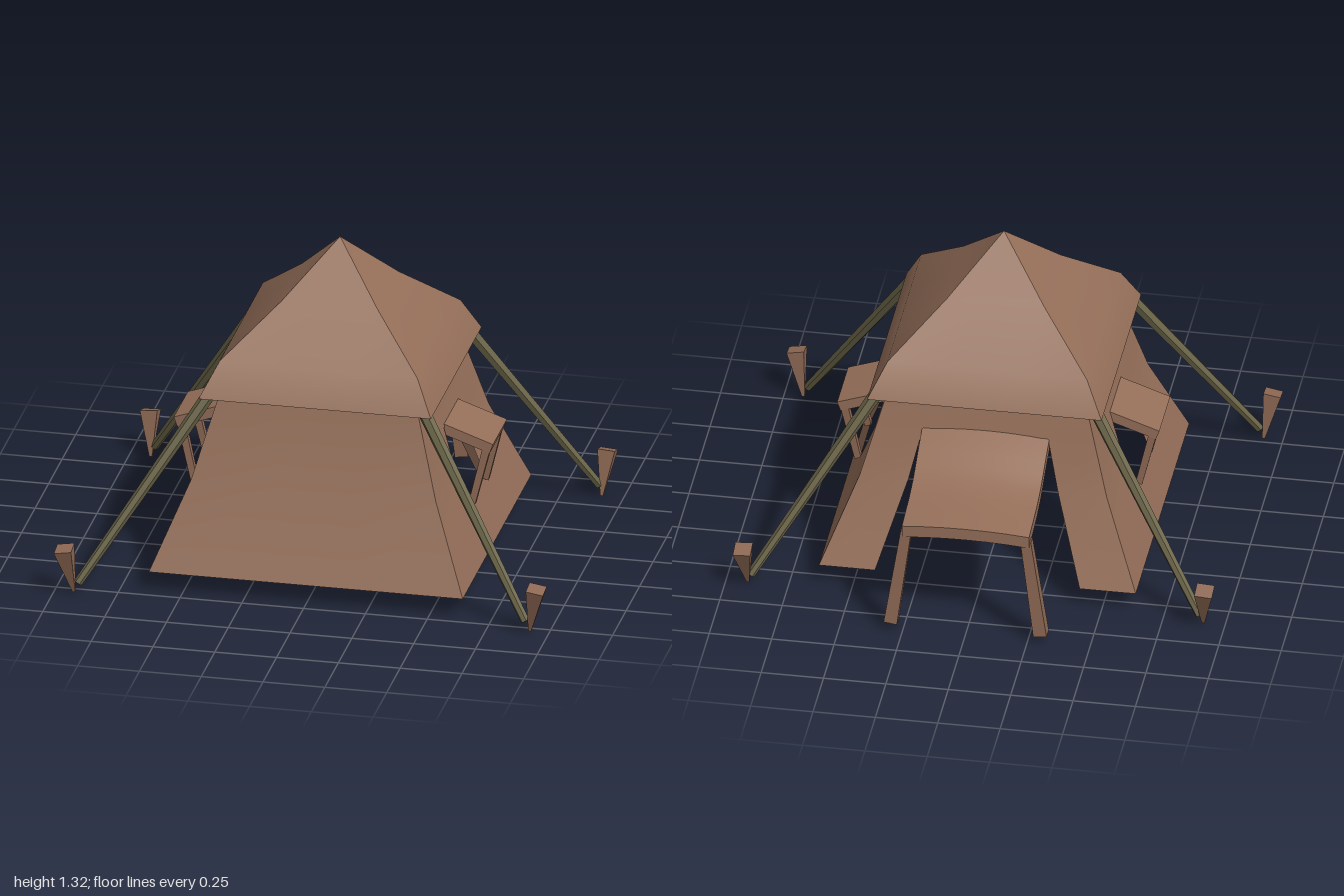
import * as THREE from 'three';

const CENTER_Z = 0.075;
const WALL = [[0.635, 0.09], [0.495, 0.44], [0.4, 0.78], [0.375, 0.9]];
const ROOF = [[0.47, 0.78], [0.4, 0.92], [0.195, 1.11], [0, 1.325]];

// Half width of a square profile at a height
function halfAt(profile, y) {
  for (let i = 1; i < profile.length; i++) {
    const [w0, y0] = profile[i - 1], [w1, y1] = profile[i];
    if (y <= y1 + 1e-6) return w0 + (w1 - w0) * (y - y0) / (y1 - y0);
  }
  return profile[profile.length - 1][0];
}

// One sloping side facing +z; cut(y) gives half the width of an opening
// that is left out between the rows first and last
function panel(profile, rows, cut, first = 0, last = 0) {
  const pos = [], index = [];
  rows.forEach((y, r) => {
    const h = halfAt(profile, y), c = cut(y, h);
    [-h, -c, c, h].forEach(x => pos.push(x, y, h));
    if (r === rows.length - 1) return;
    for (let k = 0; k < 3; k++) {
      if (k === 1 && r >= first && r < last) continue;
      const a = r * 4 + k, b = a + 4;
      index.push(a, a + 1, b + 1, a, b + 1, b);
    }
  });
  const g = new THREE.BufferGeometry();
  g.setAttribute('position', new THREE.Float32BufferAttribute(pos, 3));
  g.setIndex(index);
  g.computeVertexNormals();
  return g;
}

// Faceted tapered bar between two points
function bar(from, to, r0, r1, sides = 4) {
  const a = new THREE.Vector3(...from), b = new THREE.Vector3(...to);
  const dir = b.clone().sub(a);
  let g = new THREE.CylinderGeometry(r1, r0, dir.length(), sides);
  g.rotateY(Math.PI / sides);
  g.applyQuaternion(new THREE.Quaternion().setFromUnitVectors(new THREE.Vector3(0, 1, 0), dir.normalize()));
  g.translate((a.x + b.x) / 2, (a.y + b.y) / 2, (a.z + b.z) / 2);
  g = g.toNonIndexed();
  g.computeVertexNormals();
  return g;
}

export function createModel() {
  const model = new THREE.Group();
  const canvas = new THREE.MeshStandardMaterial({ color: 0x96705a, side: THREE.DoubleSide });
  canvas.name = 'brownCanvas';
  const wood = new THREE.MeshStandardMaterial({ color: 0x8f6a55 });
  wood.name = 'brownWood';
  const olive = new THREE.MeshStandardMaterial({ color: 0x6b6548 });
  olive.name = 'olivePole';
  const add = (name, g, mat, parent = model) => {
    const m = new THREE.Mesh(g, mat);
    m.name = name;
    parent.add(m);
    return m;
  };

  // Tent body: plain front, window in each side, doorway at the back
  const tent = new THREE.Group();
  tent.name = 'tentBody';
  tent.position.z = CENTER_Z;
  model.add(tent);
  const third = (y, h) => h / 3;
  const windowCut = y => (Math.abs(y - 0.44) < 0.01 ? 0.145 : 0.137);
  const doorway = [[0.41, 0.09], [0.3, 0.44], [0.25, 0.65], [0.2, 0.9]];
  const sideRows = [0.09, 0.3, 0.44, 0.6, 0.78, 0.9];
  add('frontWall', panel(WALL, [0.09, 0.44, 0.78, 0.9], third), canvas, tent);
  add('backWall', panel(WALL, [0.09, 0.44, 0.65, 0.78, 0.9], y => halfAt(doorway, y), 0, 2), canvas, tent)
    .rotation.y = Math.PI;
  for (const s of [1, -1])
    add(s > 0 ? 'leftWall' : 'rightWall', panel(WALL, sideRows, windowCut, 1, 3), canvas, tent)
      .rotation.y = s * Math.PI / 2;

  // Roof with four curved sides
  for (let i = 0; i < 4; i++)
    add('roofSide', panel(ROOF, ROOF.map(p => p[1]), third), canvas, tent).rotation.y = i * Math.PI / 2;

  // Raised door flap: a thick sheet bent along its length, slightly crowned
  const flap = new THREE.BoxGeometry(0.51, 0.05, 0.5, 6, 1, 8);
  const p = flap.attributes.position;
  const bend = new THREE.CatmullRomCurve3([
    new THREE.Vector3(0, 0.63, -0.345), new THREE.Vector3(0, 0.585, -0.44),
    new THREE.Vector3(0, 0.507, -0.6), new THREE.Vector3(0, 0.465, -0.842)]);
  for (let i = 0; i < p.count; i++) {
    const c = bend.getPoint(0.5 - p.getZ(i) / 0.5);
    const crown = 0.012 * (1 - (p.getX(i) / 0.255) ** 2);
    p.setXYZ(i, p.getX(i), c.y + p.getY(i) + crown, c.z);
  }
  flap.computeVertexNormals();
  add('doorFlap', flap, canvas);

  for (const s of [1, -1]) {
    // Posts under the door flap
    add('flapPost', bar([s * 0.3, 0.035, -0.825], [s * 0.24, 0.46, -0.815], 0.038, 0.03), wood);

    // Window awning with two props
    const awning = new THREE.BoxGeometry(0.22, 0.042, 0.26);
    awning.rotateZ(-s * 0.34);
    awning.translate(s * 0.535, 0.557, 0.068);
    add('windowAwning', awning, canvas);
    for (const [z0, z1] of [[0.196, 0.181], [-0.048, -0.045]])
      add('windowProp', bar([s * 0.563, 0.285, z0], [s * 0.617, 0.515, z1], 0.019, 0.022), wood);

    // Corner guy poles and their stakes
    const corners = [
      { top: [0.42, 0.81, 0.495], foot: [0.905, 0.05, 0.785], head: [0.955, 0.205, 0.812], tip: [0.922, 0.01, 0.778] },
      { top: [0.42, 0.81, -0.325], foot: [0.9, 0.05, -0.61], head: [0.925, 0.19, -0.648], tip: [0.912, 0.01, -0.597] },
    ];
    for (const c of corners) {
      const at = ([x, y, z]) => [s * x, y, z];
      add('guyPole', bar(at(c.foot), at(c.top), 0.018, 0.027, 6), olive);
      add('stake', bar(at(c.tip), at(c.head), 0.008, 0.05), wood);
    }
  }
  return model;
}
